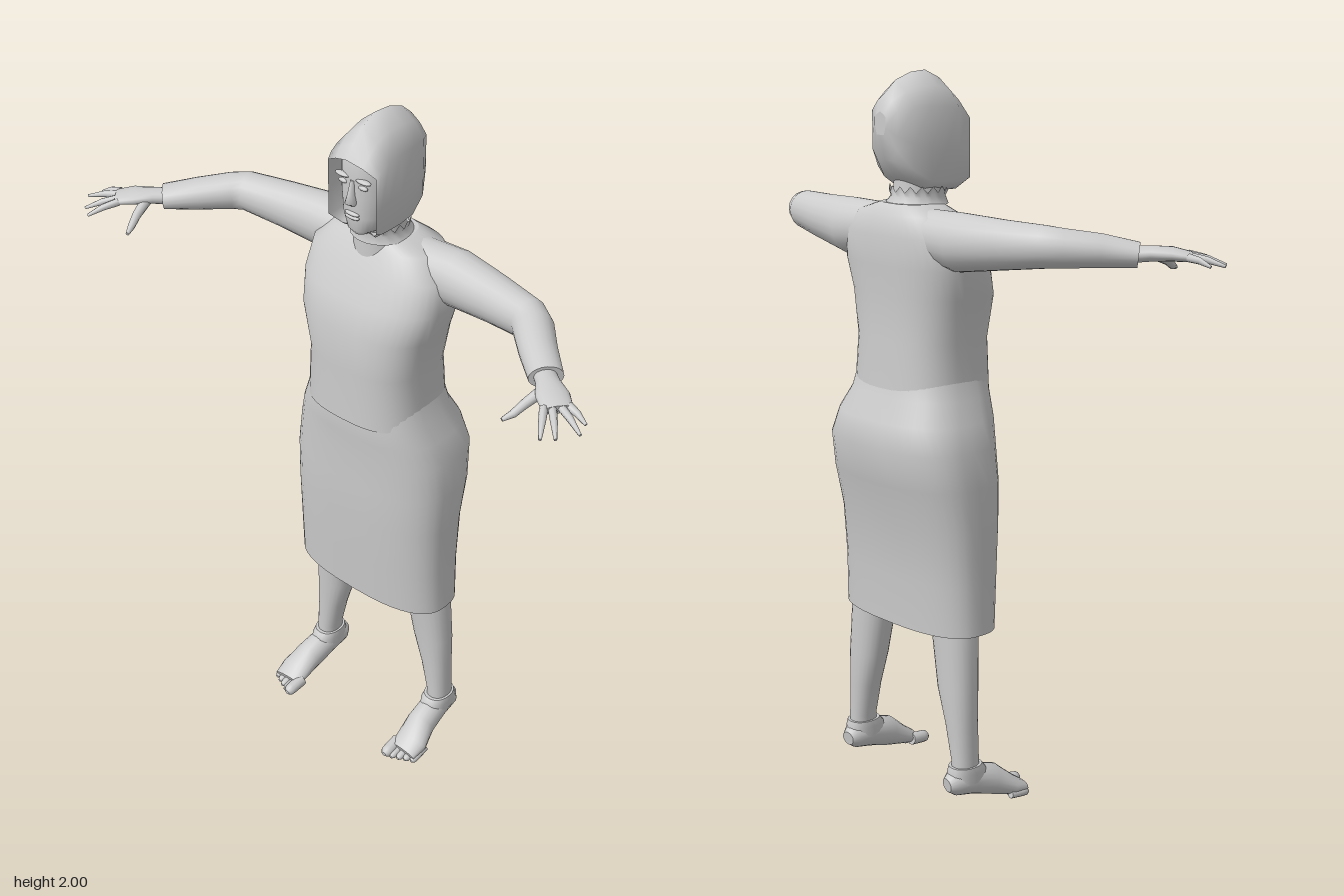
import * as THREE from 'three';

const V = (x, y, z) => new THREE.Vector3(x, y, z);
const clay = new THREE.MeshStandardMaterial({ color: 0xcccccc, side: THREE.DoubleSide });
clay.name = 'pale grey';

// Skin a list of equal-length rings; caps get their own vertices to keep crisp rims
function loft(rings, capStart = true, capEnd = true) {
  const n = rings[0].length, pos = [], idx = [];
  rings.forEach(r => r.forEach(p => pos.push(p.x, p.y, p.z)));
  for (let j = 0; j < rings.length - 1; j++) {
    for (let i = 0; i < n; i++) {
      const a = j * n + i, b = j * n + (i + 1) % n;
      idx.push(a, b, a + n, b, b + n, a + n);
    }
  }
  const cap = (ring, flip) => {
    const c = ring.reduce((s, p) => s.add(p), V(0, 0, 0)).divideScalar(n);
    const o = pos.length / 3;
    [c, ...ring].forEach(p => pos.push(p.x, p.y, p.z));
    for (let i = 0; i < n; i++) {
      const a = o + 1 + i, b = o + 1 + (i + 1) % n;
      flip ? idx.push(o, b, a) : idx.push(o, a, b);
    }
  };
  if (capStart) cap(rings[0], true);
  if (capEnd) cap(rings[rings.length - 1], false);
  const g = new THREE.BufferGeometry();
  g.setAttribute('position', new THREE.Float32BufferAttribute(pos, 3));
  g.setIndex(idx);
  g.computeVertexNormals();
  return g;
}

// Upright form from rows of [y, centreX, halfWidth, zFront, zBack]
function column(rows, power = 1, n = 32, caps = [true, true]) {
  const bend = t => Math.sign(t) * Math.abs(t) ** power;
  return loft(rows.map(([y, cx, rx, zf, zb]) => Array.from({ length: n }, (_, i) => {
    const a = i / n * Math.PI * 2;
    return V(cx + rx * bend(Math.sin(a)), y, (zf + zb) / 2 + (zf - zb) / 2 * bend(Math.cos(a)));
  })), ...caps);
}

// Lying form along a path of [x, y, z, sideRadius, heightRadius]
function limb(points, s = 1, n = 16) {
  const path = points.map(p => V(p[0] * s, p[1], p[2]));
  return loft(points.map((p, j) => {
    const w = path[Math.min(j + 1, path.length - 1)].clone().sub(path[Math.max(j - 1, 0)]).normalize();
    const u = V(0, 1, 0).cross(w).normalize(), v = w.clone().cross(u);
    return Array.from({ length: n }, (_, i) => {
      const a = i / n * Math.PI * 2;
      return path[j].clone().addScaledVector(u, p[3] * Math.cos(a)).addScaledVector(v, p[4] * Math.sin(a));
    });
  }));
}

export function createModel() {
  const model = new THREE.Group();
  const add = (name, geo, parent = model) => {
    const m = new THREE.Mesh(geo, clay);
    m.name = name;
    parent.add(m);
    return m;
  };

  // Skirt, open at the hem
  add('skirt', column([
    [0.51, 0, 0.257, 0.045, -0.19], [0.65, 0, 0.255, 0.055, -0.195], [0.8, 0, 0.256, 0.065, -0.21],
    [0.92, 0, 0.258, 0.07, -0.242], [1.02, 0, 0.248, 0.07, -0.262], [1.09, 0, 0.226, 0.078, -0.247],
    [1.15, 0, 0.198, 0.08, -0.215], [1.22, 0, 0.178, 0.075, -0.2]], 0.75, 40, [false, true]));

  // Bodice with its loose lower edge
  add('bodice', column([
    [1.14, 0, 0.188, 0.086, -0.212], [1.3, 0, 0.178, 0.083, -0.203], [1.42, 0, 0.205, 0.085, -0.2],
    [1.5, 0, 0.222, 0.055, -0.208], [1.58, 0, 0.215, 0.018, -0.208],
    [1.635, 0, 0.16, -0.015, -0.195], [1.66, 0, 0.08, -0.03, -0.165]], 0.75, 40, [false, true]));

  // Neck and scalloped collar
  add('neck', column([[1.6, 0, 0.08, 0, -0.16], [1.66, 0, 0.066, 0, -0.14], [1.75, 0, 0.064, 0, -0.14]]));
  const collar = add('collar', column([
    [1.655, 0, 0.085, 0.005, -0.165], [1.675, 0, 0.07, 0, -0.148], [1.705, 0, 0.078, 0.006, -0.152]],
  1, 32, [false, false]));
  const cp = collar.geometry.attributes.position;
  for (let i = 64; i < 96; i += 2) cp.setY(i, 1.688);
  collar.geometry.computeVertexNormals();

  // Face
  add('face', column([
    [1.685, 0, 0.022, 0.022, -0.05], [1.7, 0, 0.045, 0.034, -0.08], [1.74, 0, 0.066, 0.038, -0.12],
    [1.8, 0, 0.076, 0.04, -0.15], [1.84, 0, 0.078, 0.038, -0.15], [1.88, 0, 0.076, 0.04, -0.15],
    [1.91, 0, 0.06, 0.03, -0.14]], 0.9));
  add('nose', column([
    [1.775, 0, 0.011, 0.045, 0.02], [1.785, 0, 0.016, 0.06, 0.02],
    [1.81, 0, 0.01, 0.053, 0.02], [1.845, 0, 0.007, 0.042, 0.02]], 1, 12));
  for (const y of [1.741, 1.751]) {
    const lip = add('lip', new THREE.SphereGeometry(1, 16, 8));
    lip.scale.set(0.024, 0.006, 0.008);
    lip.position.set(0, y, 0.038);
  }

  // Hood: gabled sections from back to front [z, ridge, eave, halfWidth, bottom, sideSetback]
  const hood = [
    [-0.203, 1.9, 1.885, 0.022, 1.84, 0], [-0.188, 1.945, 1.9, 0.05, 1.775, 0],
    [-0.15, 1.978, 1.91, 0.073, 1.725, 0], [-0.1, 1.996, 1.912, 0.083, 1.695, 0],
    [-0.05, 2.0, 1.91, 0.085, 1.69, 0], [0, 1.978, 1.905, 0.085, 1.69, 0.005],
    [0.035, 1.942, 1.89, 0.083, 1.69, 0.012], [0.06, 1.91, 1.875, 0.08, 1.695, 0.022],
  ].map(([z, ridge, eave, w, low, back]) => {
    const half = [[w, low + 0.025], [w, (low + eave) / 2], [w, eave], [w * 0.55, eave + (ridge - eave) * 0.58]];
    const right = half.map(([x, y], i) => V(x, y, z - back * (i < 3 ? 1 : 0.5)));
    const left = right.map(p => V(-p.x, p.y, p.z)).reverse();
    return [V(0, low, z - back * 3), V(w * 0.65, low, z - back * 2), ...right,
      V(0, ridge, z), ...left, V(-w * 0.65, low, z - back * 2)];
  });
  add('hood', loft(hood, true, false));

  for (const s of [1, -1]) {
    const side = s > 0 ? 'left' : 'right';

    // Eye and brow
    const eye = add(side + 'Eye', new THREE.SphereGeometry(1, 12, 8));
    eye.scale.set(0.015, 0.006, 0.007);
    eye.position.set(s * 0.033, 1.832, 0.034);
    const brow = add(side + 'Brow', new THREE.SphereGeometry(1, 12, 8));
    brow.scale.set(0.025, 0.006, 0.01);
    brow.position.set(s * 0.034, 1.85, 0.034);

    // Sleeve, bent forward at the elbow
    add(side + 'Sleeve', limb([
      [0.06, 1.583, -0.115, 0.068, 0.068], [0.22, 1.577, -0.12, 0.07, 0.077],
      [0.36, 1.584, -0.098, 0.06, 0.064], [0.48, 1.59, -0.073, 0.052, 0.054],
      [0.515, 1.588, -0.048, 0.052, 0.05], [0.58, 1.583, 0.018, 0.048, 0.043],
      [0.65, 1.574, 0.08, 0.044, 0.032]], s, 20));

    // Hand with spread fingers
    const hand = new THREE.Group();
    hand.name = side + 'Hand';
    model.add(hand);
    add('palm', limb([[0.63, 1.575, 0.065, 0.028, 0.022], [0.67, 1.578, 0.1, 0.03, 0.02],
      [0.71, 1.578, 0.135, 0.042, 0.018], [0.748, 1.572, 0.165, 0.038, 0.012]], s), hand);
    [[0.82, 1.556, 0.152], [0.833, 1.555, 0.192], [0.797, 1.55, 0.238], [0.767, 1.546, 0.257]].forEach((tip, i) => {
      const k = 0.03 - i * 0.02, base = [0.74 + k * 0.66, 1.574, 0.16 - k * 0.75];
      const mid = base.map((b, j) => (b + tip[j]) / 2 + (j === 1 ? 0.004 : 0));
      add('finger', limb([[...base, 0.011, 0.011], [...mid, 0.009, 0.009], [...tip, 0.004, 0.004]], s, 8), hand);
    });
    add('thumb', limb([[0.675, 1.572, 0.12, 0.016, 0.014], [0.66, 1.552, 0.175, 0.012, 0.012],
      [0.65, 1.535, 0.205, 0.01, 0.01], [0.638, 1.527, 0.232, 0.005, 0.005]], s, 10), hand);

    // Leg and ankle cuff
    add(side + 'Leg', column([
      [0.08, 0.22, 0.032, -0.06, -0.14], [0.15, 0.22, 0.033, -0.06, -0.14], [0.25, 0.206, 0.043, -0.057, -0.144],
      [0.35, 0.19, 0.058, -0.05, -0.15], [0.5, 0.172, 0.068, -0.038, -0.15], [0.8, 0.13, 0.085, 0, -0.16],
    ].map(([y, x, ...r]) => [y, x * s, ...r]), 0.9, 24));
    add(side + 'AnkleCuff', column([
      [0.085, 0.22 * s, 0.04, -0.03, -0.155], [0.115, 0.22 * s, 0.042, -0.035, -0.153],
      [0.133, 0.22 * s, 0.039, -0.05, -0.148]], 0.9, 20));

    // Bare foot, heel slightly raised
    const foot = new THREE.Group();
    foot.name = side + 'Foot';
    model.add(foot);
    add('sole', limb([
      [0.215, 0.085, -0.162, 0.02, 0.02], [0.218, 0.088, -0.14, 0.036, 0.036], [0.22, 0.085, -0.08, 0.04, 0.044],
      [0.225, 0.065, -0.01, 0.043, 0.044], [0.235, 0.037, 0.045, 0.05, 0.029],
      [0.233, 0.023, 0.085, 0.046, 0.018]], s, 20), foot);
    for (let i = 0; i < 5; i++) {
      const x = 0.197 + i * 0.019, r = i ? 0.0115 : 0.018, z = 0.122 - i * 0.009;
      add('toe', limb([[x - 0.002, r + 0.008, z - 0.06, r, r], [x, r + 0.003, z - 0.018, r, r],
        [x, r + 0.001, z - 0.003, r * 0.9, r * 0.9], [x, r, z + 0.005, r * 0.45, r * 0.45]], s, 10), foot);
    }
  }
  return model;
}
